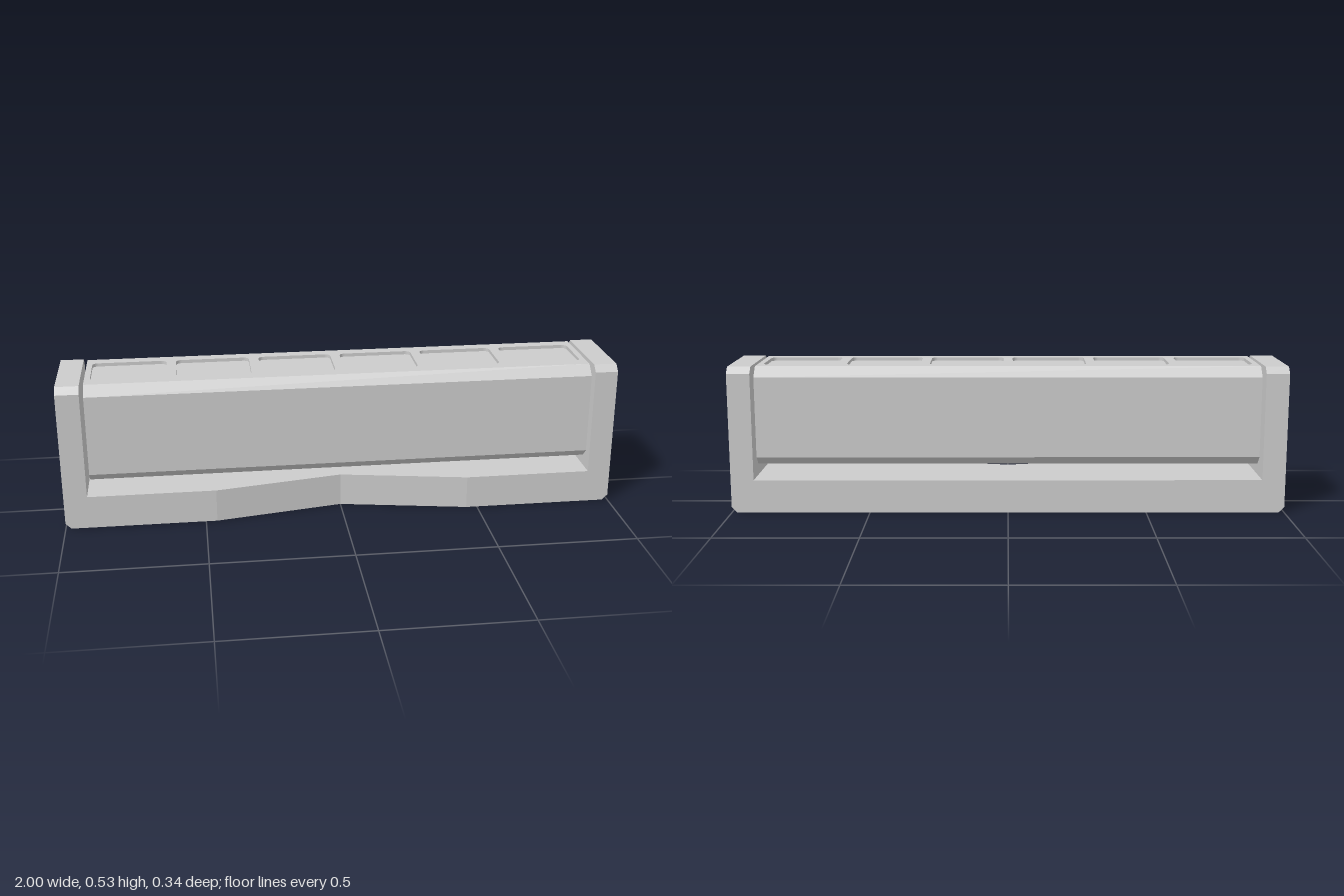
import * as THREE from 'three';

const HALF_DEPTH = 0.17, TOP = 0.53, BASE_TOP = 0.12;
const material = new THREE.MeshStandardMaterial({ color: 0xcccccc, flatShading: true });

function addMesh(parent, name, geometry) {
  const mesh = new THREE.Mesh(geometry, material);
  mesh.name = name;
  parent.add(mesh);
  return mesh;
}

// Extrudes a (z, y) profile along x, from x0 to x1
function extrudeAlongX(points, x0, x1) {
  const shape = new THREE.Shape(points.map(([z, y]) => new THREE.Vector2(z, y)));
  return new THREE.ExtrudeGeometry(shape, { depth: x1 - x0, bevelEnabled: false })
    .rotateY(Math.PI / 2).translate(x0, 0, 0);
}

// Completes a profile from its +z half, listed bottom to top
function mirrored(half) {
  return [...half, ...half.map(([z, y]) => [-z, y]).reverse()];
}

function roundedRect(cx, w, h, r) {
  const p = new THREE.Path(), x = w / 2, y = h / 2;
  p.absarc(cx + x - r, y - r, r, 0, Math.PI / 2);
  p.absarc(cx - x + r, y - r, r, Math.PI / 2, Math.PI);
  p.absarc(cx - x + r, -y + r, r, Math.PI, Math.PI * 1.5);
  p.absarc(cx + x - r, -y + r, r, Math.PI * 1.5, Math.PI * 2);
  p.closePath();
  return p;
}

// Base beam: shallow V-shaped dent in the front, bevelled lower ends
function baseGeometry() {
  const stations = [-1, -0.98, -0.46, 0, 0.46, 0.98, 1];
  const geo = new THREE.BoxGeometry(6, BASE_TOP, HALF_DEPTH * 2, 6, 1, 1);
  geo.translate(0, BASE_TOP / 2, 0);
  const pos = geo.attributes.position;
  for (let i = 0; i < pos.count; i++) {
    const k = Math.round(pos.getX(i)) + 3;
    pos.setX(i, stations[k]);
    if (k === 3 && pos.getZ(i) > 0) pos.setZ(i, HALF_DEPTH - 0.085);
    if ((k === 0 || k === 6) && pos.getY(i) < 0.01) pos.setY(i, 0.02);
  }
  const flat = geo.toNonIndexed();
  flat.computeVertexNormals();
  return flat;
}

export function createModel() {
  const model = new THREE.Group();
  model.name = 'rackWithBar';

  // Frame: base and two end posts
  const frame = new THREE.Group();
  frame.name = 'frame';
  model.add(frame);
  addMesh(frame, 'base', baseGeometry());
  const postProfile = mirrored([[HALF_DEPTH, BASE_TOP], [HALF_DEPTH, 0.507], [0.146, TOP]]);
  addMesh(frame, 'leftPost', extrudeAlongX(postProfile, 0.917, 1));
  addMesh(frame, 'rightPost', extrudeAlongX(postProfile, -1, -0.917));

  // Bar: bevelled block with a slot that holds the pocket plate
  const bar = new THREE.Group();
  bar.name = 'bar';
  model.add(bar);
  const barHalf = 0.903, plateHalf = 0.135, pocketDepth = 0.012;
  addMesh(bar, 'barBody', extrudeAlongX(mirrored([
    [0.14, 0.175], [HALF_DEPTH, 0.205], [HALF_DEPTH, 0.495],
    [plateHalf, TOP], [plateHalf, TOP - pocketDepth],
  ]), -barHalf, barHalf));

  // Top plate with six rounded pockets
  const plate = new THREE.Shape([
    new THREE.Vector2(-barHalf, -plateHalf), new THREE.Vector2(barHalf, -plateHalf),
    new THREE.Vector2(barHalf, plateHalf), new THREE.Vector2(-barHalf, plateHalf),
  ]);
  for (let i = 0; i < 6; i++) plate.holes.push(roundedRect(-0.75 + i * 0.3, 0.265, 0.185, 0.02));
  const plateGeo = new THREE.ExtrudeGeometry(plate, { depth: pocketDepth, bevelEnabled: false, curveSegments: 5 });
  plateGeo.rotateX(-Math.PI / 2).translate(0, TOP - pocketDepth, 0);
  addMesh(bar, 'pocketPlate', plateGeo);

  return model;
}
